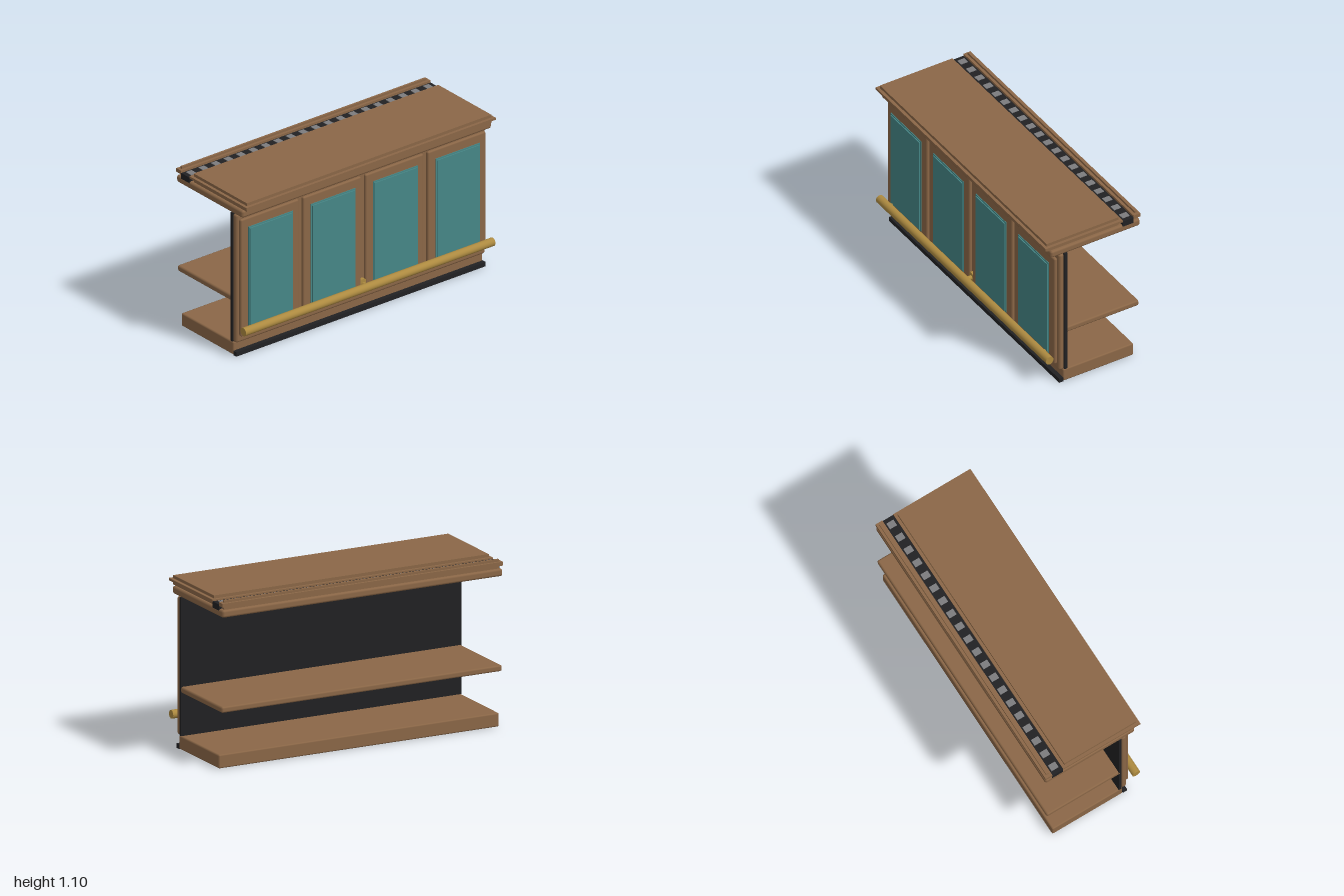
import * as THREE from 'three';
import { RoundedBoxGeometry } from 'three/addons/geometries/RoundedBoxGeometry.js';

const material = (name, color) => {
  const m = new THREE.MeshStandardMaterial({ color });
  m.name = name;
  return m;
};

export function createModel() {
  const root = new THREE.Group();
  root.name = 'barCounter';

  const wood = material('wood', 0x8b6747);
  const black = material('black', 0x212123);
  const teal = material('teal', 0x468787);
  const brass = material('brass', 0xad8a40);
  const grey = material('grey', 0x7c7c7e);

  // Box from its x, y and z ranges; a radius softens the edges.
  const block = (name, mat, [x0, x1], [y0, y1], [z0, z1], radius = 0) => {
    const size = [x1 - x0, y1 - y0, z1 - z0];
    const geometry = radius
      ? new RoundedBoxGeometry(...size, 1, radius)
      : new THREE.BoxGeometry(...size);
    const mesh = new THREE.Mesh(geometry, mat);
    mesh.name = name;
    mesh.position.set((x0 + x1) / 2, (y0 + y1) / 2, (z0 + z1) / 2);
    root.add(mesh);
    return mesh;
  };
  const full = [-1, 1];
  const inset = [-0.98, 0.98];

  // Body
  block('base', wood, full, [0, 0.09], [-0.3, 0.22], 0.01);
  block('kickStrip', black, full, [0, 0.03], [0.22, 0.25]);
  block('frontBoard', wood, full, [0.09, 0.99], [0.21, 0.25], 0.016);
  block('backLining', black, full, [0.09, 0.99], [0.19, 0.211]);
  block('shelf', wood, full, [0.37, 0.41], [-0.34, 0.21], 0.012);

  // Raised front panels with teal inlays that have a thin lip around them
  for (const x of [-0.75, -0.25, 0.25, 0.75]) {
    block('doorPanel', wood, [x - 0.233, x + 0.233], [0.14, 0.96], [0.25, 0.275], 0.011);
    block('inlay', teal, [x - 0.17, x + 0.17], [0.21, 0.89], [0.27, 0.291]);
    block('inlayLip', teal, [x - 0.178, x + 0.178], [0.2, 0.9], [0.279, 0.284]);
  }

  // Counter slab and stepped top
  block('counterSlab', wood, full, [0.99, 1.04], [-0.35, 0.31], 0.015);
  block('counterTop', wood, inset, [1.04, 1.1], [-0.2, 0.33]);
  block('counterTopLip', wood, full, [1.065, 1.08], [-0.22, 0.35]);

  // Rear edge rail
  block('rearRail', wood, inset, [1.04, 1.1], [-0.333, -0.318]);
  block('rearRailLip', wood, full, [1.06, 1.085], [-0.35, -0.3]);

  // Drip tray with a row of grate plates
  block('dripTray', black, full, [1.03, 1.07], [-0.3, -0.22]);
  for (let i = 0; i < 20; i++) {
    const x = -0.95 + i * 0.1;
    block('gratePlate', grey, [x - 0.022, x + 0.022], [1.068, 1.074], [-0.288, -0.236]);
  }

  // Foot rail on short posts
  const rod = (name, radius, length, x, z, axis) => {
    const mesh = new THREE.Mesh(new THREE.CylinderGeometry(radius, radius, length, 20), brass);
    mesh.name = name;
    mesh.position.set(x, 0.2, z);
    mesh.rotation[axis] = Math.PI / 2;
    root.add(mesh);
  };
  rod('footRail', 0.028, 2, 0, 0.32, 'z');
  for (const x of [-0.9, 0, 0.9]) rod('railPost', 0.015, 0.07, x, 0.285, 'x');
  rod('postFlange', 0.036, 0.024, 0, 0.26, 'x');

  return root;
}
